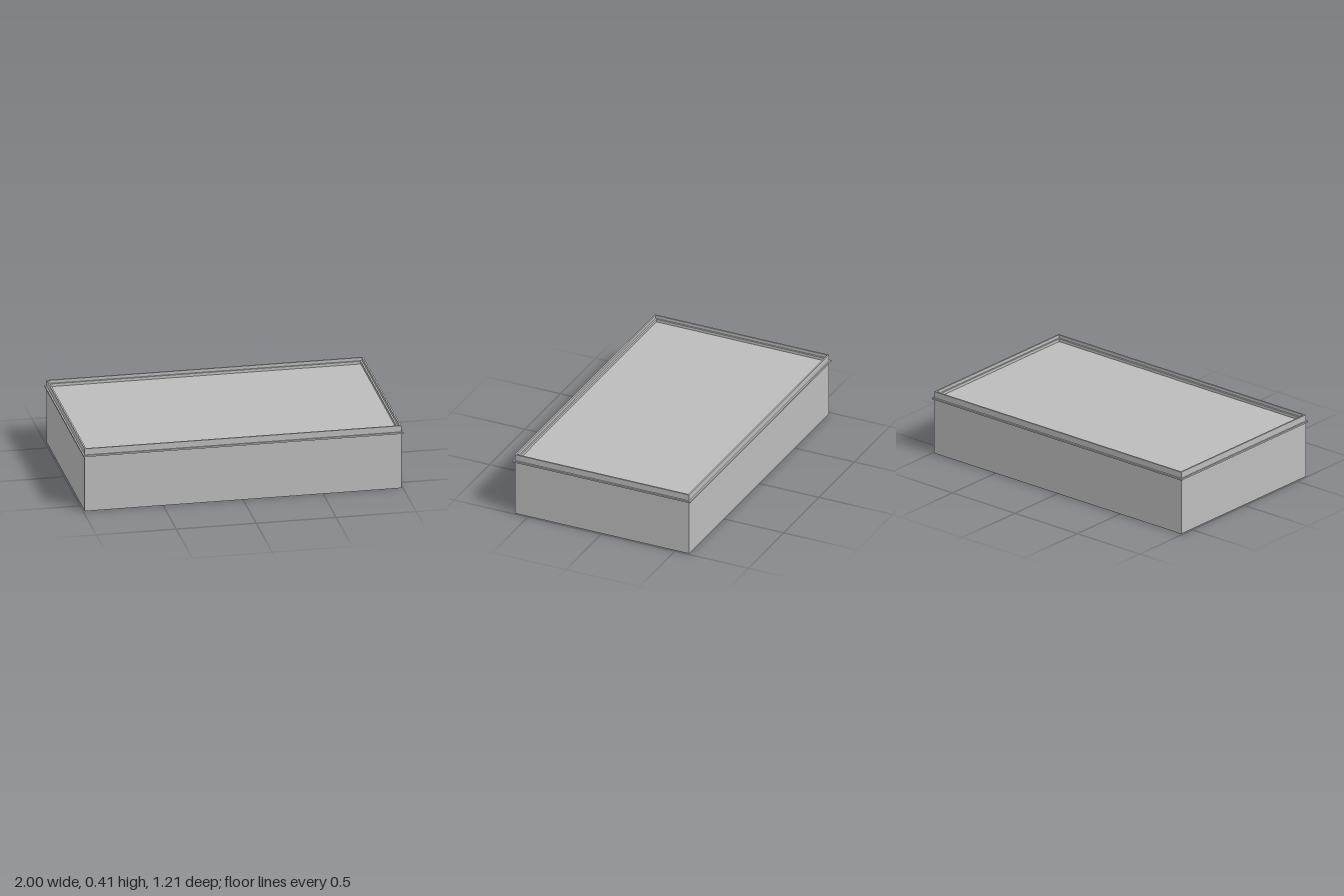
import * as THREE from 'three';

const HALF_X = 1, HALF_Z = 0.603;

// Sweeps a profile of [inset, height] points around the rectangular outline with mitred corners.
function sweepFrame(profile) {
  const corners = [[1, 1], [1, -1], [-1, -1], [-1, 1]];
  const at = ([inset, y], [sx, sz]) => [sx * (HALF_X - inset), y, sz * (HALF_Z - inset)];
  const positions = [];
  for (let i = 0; i < 4; i++) {
    const from = corners[i], to = corners[(i + 1) % 4];
    for (let j = 0; j < profile.length - 1; j++) {
      const a = at(profile[j], from), b = at(profile[j], to);
      const c = at(profile[j + 1], to), d = at(profile[j + 1], from);
      positions.push(...a, ...b, ...c, ...a, ...c, ...d);
    }
  }
  const geometry = new THREE.BufferGeometry();
  geometry.setAttribute('position', new THREE.Float32BufferAttribute(positions, 3));
  geometry.computeVertexNormals();
  return geometry;
}

export function createModel() {
  const group = new THREE.Group();
  group.name = 'openTray';
  const grey = new THREE.MeshStandardMaterial({ color: 0xbcbcbc, side: THREE.DoubleSide });
  grey.name = 'grey';

  const add = (name, geometry) => {
    const mesh = new THREE.Mesh(geometry, grey);
    mesh.name = name;
    group.add(mesh);
    return mesh;
  };

  // Thin side walls, open underneath
  add('sideWalls', sweepFrame([[0.01, 0], [0.01, 0.41]]));

  // Narrow band standing out around the walls
  add('trimBand', sweepFrame([[0.01, 0.36], [0, 0.36], [0, 0.37], [0.01, 0.37]]));

  // Raised rim with a stepped inner ledge
  add('steppedRim', sweepFrame([
    [0.01, 0.41], [0.02, 0.41], [0.02, 0.39], [0.03, 0.39], [0.03, 0.36], [0.01, 0.36],
  ]));

  // Recessed top panel
  const inset = 0.03;
  add('topPanel', new THREE.BoxGeometry(2 * (HALF_X - inset), 0.004, 2 * (HALF_Z - inset)))
    .position.y = 0.37;

  return group;
}
